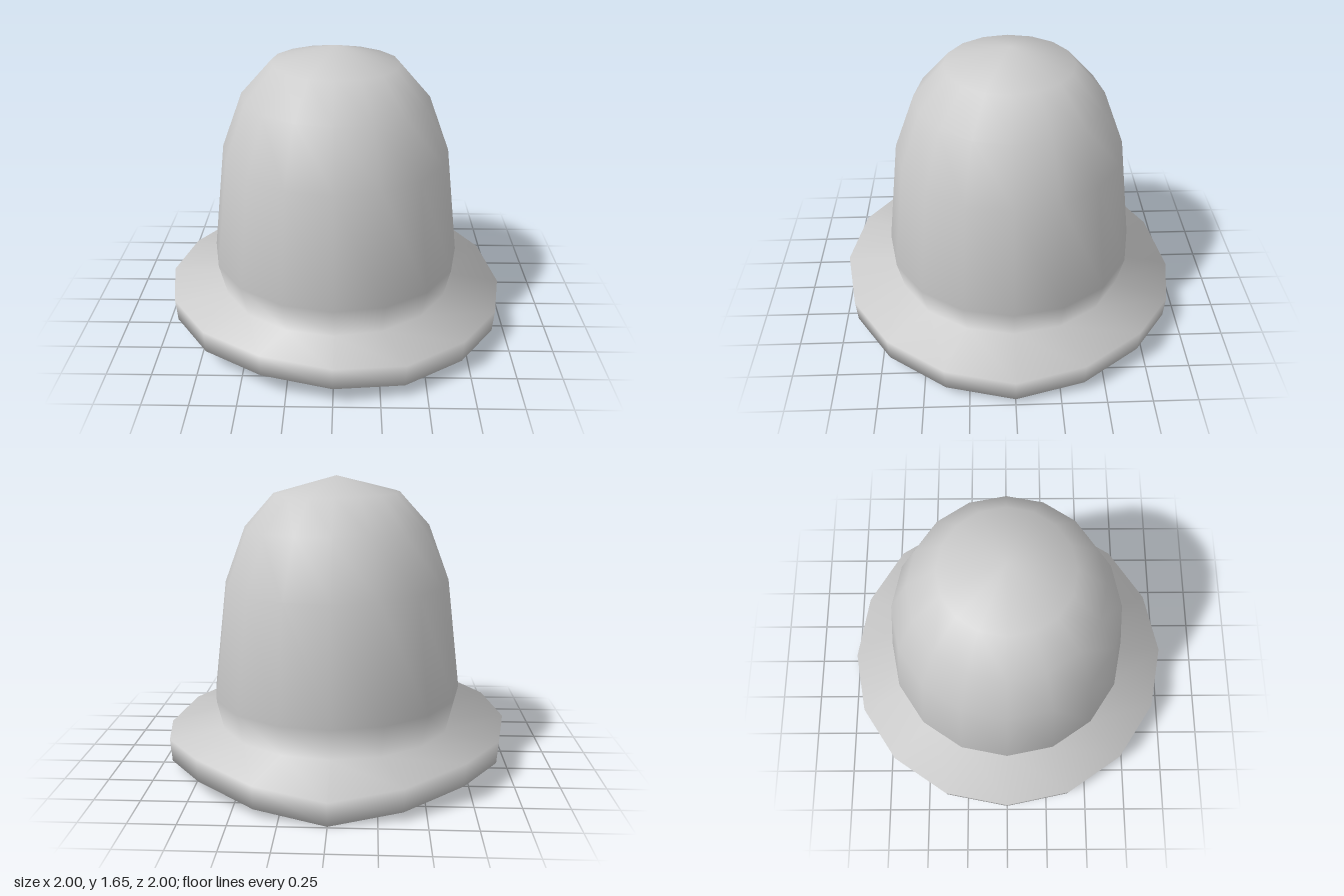
import * as THREE from 'three';
import { mergeVertices } from 'three/addons/utils/BufferGeometryUtils.js';

const SIDES = 16;
// height of the brim's lower edge, starting at the front and turning towards +x
const RIM = [0.11, 0.08, 0.08, 0.06, 0.035, 0.07, 0.095, 0.05,
  0.002, 0.05, 0.095, 0.09, 0.1, 0.115, 0.125, 0.135];

// closed wall section: inside of the crown, underside, rim, outside of the crown
const SECTION = [
  [0, 1.56], [0.32, 1.48], [0.47, 1.31], [0.585, 1.02], [0.65, 0.42], [0.53, 0.1],
  [0.99, 0.09], [1, 0.22],
  [0.685, 0.22], [0.728, 0.405], [0.65, 1.05], [0.53, 1.37], [0.36, 1.56], [0, 1.655],
];

// smooth normals weighted by corner angle, so narrow faces such as the rim count fully
function smoothByAngle(geometry) {
  const pos = geometry.attributes.position;
  const index = geometry.index.array;
  const normals = Array.from({ length: pos.count }, () => new THREE.Vector3());
  for (let f = 0; f < index.length; f += 3) {
    const ids = [index[f], index[f + 1], index[f + 2]];
    const p = ids.map((id) => new THREE.Vector3().fromBufferAttribute(pos, id));
    const face = new THREE.Triangle(...p).getNormal(new THREE.Vector3());
    ids.forEach((id, k) => {
      const a = p[(k + 1) % 3].clone().sub(p[k]);
      const b = p[(k + 2) % 3].clone().sub(p[k]);
      normals[id].addScaledVector(face, a.angleTo(b));
    });
  }
  const flat = normals.flatMap((n) => n.normalize().toArray());
  geometry.setAttribute('normal', new THREE.Float32BufferAttribute(flat, 3));
}

function hatGeometry() {
  const points = SECTION.map(([r, y]) => new THREE.Vector2(r, y));
  const lathe = new THREE.LatheGeometry(points, SIDES);
  lathe.deleteAttribute('uv');
  lathe.deleteAttribute('normal');
  const pos = lathe.attributes.position;
  const rows = SECTION.length;
  for (let i = 0; i < pos.count; i++) {
    const [r, y] = SECTION[i % rows];
    const side = Math.floor(i / rows) % SIDES;
    // wavy rim
    if (r > 0.9) pos.setY(i, y + RIM[side] - 0.09);
    // slight lean of the crown
    if (y > 0.3) {
      pos.setY(i, y - 0.015 * pos.getX(i));
      pos.setX(i, pos.getX(i) - 0.003);
    }
  }
  const geometry = mergeVertices(lathe, 1e-4);
  smoothByAngle(geometry);
  return geometry;
}

export function createModel() {
  const group = new THREE.Group();
  group.name = 'hat';
  const material = new THREE.MeshStandardMaterial({ color: 0xcccccc });
  const hat = new THREE.Mesh(hatGeometry(), material);
  hat.name = 'crownAndBrim';
  group.add(hat);
  return group;
}
